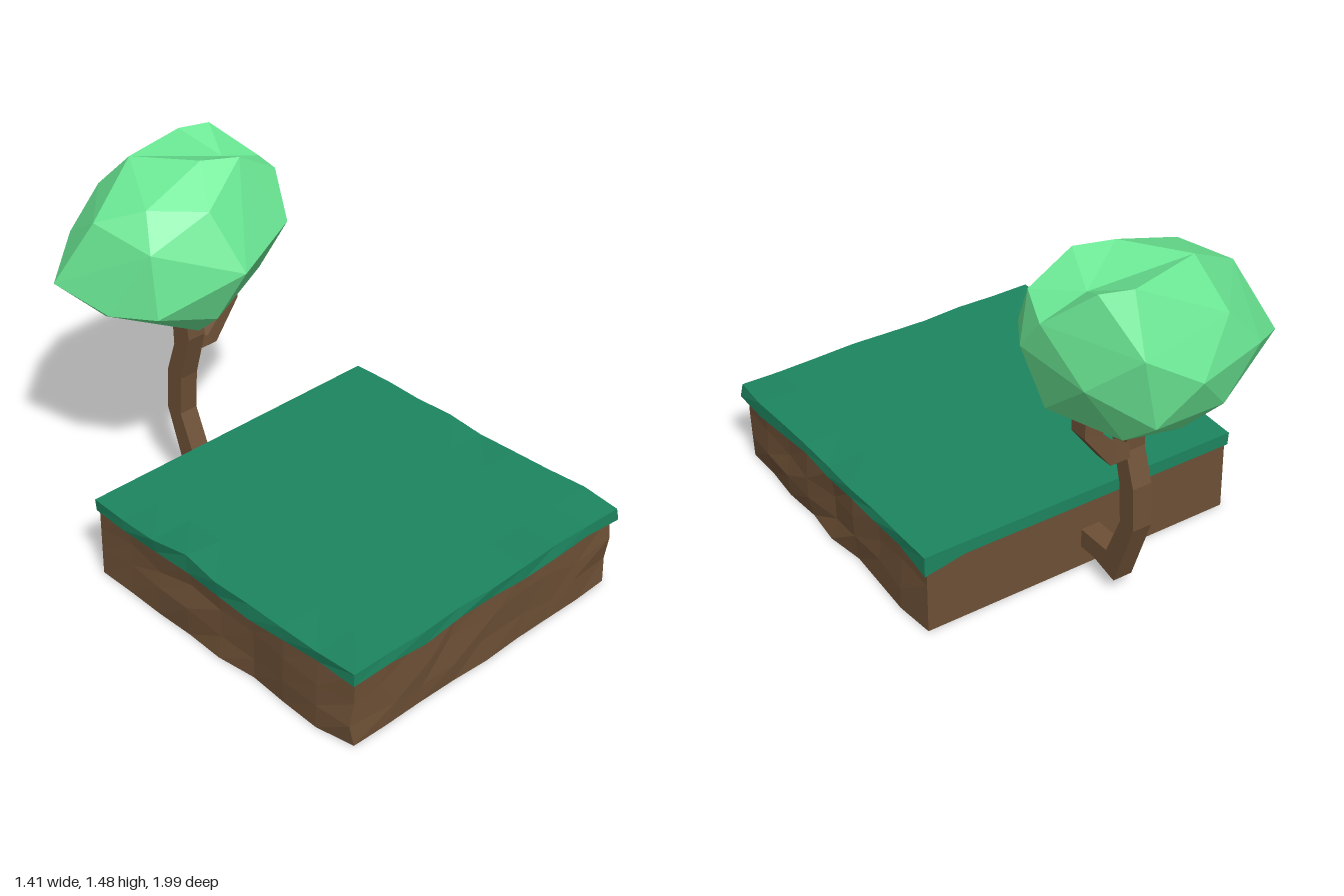
import * as THREE from 'three';
import { ConvexGeometry } from 'three/addons/geometries/ConvexGeometry.js';

const mat = (name, color) => new THREE.MeshStandardMaterial({ name, color });

// Repeatable noise in -1..1 from a position, so shared corners move together
function noise(x, y, z, seed) {
  const s = Math.sin(x * 127.1 + y * 311.7 + z * 74.7 + seed * 53.3) * 4375.85;
  return (s - Math.floor(s)) * 2 - 1;
}

// Faceted copy with one normal per face
function facet(geometry) {
  const g = geometry.index ? geometry.toNonIndexed() : geometry;
  g.computeVertexNormals();
  return g;
}

// Subdivided slab whose vertices are moved by a rule
function slab(min, max, seg, rule) {
  const size = max.map((v, i) => v - min[i]);
  const g = new THREE.BoxGeometry(...size, ...seg);
  g.translate(...min.map((v, i) => v + size[i] / 2));
  const p = g.attributes.position;
  const v = new THREE.Vector3();
  for (let i = 0; i < p.count; i++) {
    v.fromBufferAttribute(p, i);
    v.set(...[v.x, v.y, v.z].map((n) => Math.round(n * 1000) / 1000));
    rule(v);
    p.setXYZ(i, v.x, v.y, v.z);
  }
  return facet(g);
}

// Square limb: each section holds four corners in the same turning order
function limb(sections) {
  const pos = [];
  const quad = (a, b, c, d) => pos.push(...a, ...b, ...c, ...a, ...c, ...d);
  for (let i = 0; i < sections.length - 1; i++) {
    const s = sections[i], t = sections[i + 1];
    for (let k = 0; k < 4; k++) {
      const n = (k + 1) % 4;
      quad(s[k], s[n], t[n], t[k]);
    }
  }
  const a = sections[0], b = sections[sections.length - 1];
  quad(a[3], a[2], a[1], a[0]);
  quad(b[0], b[1], b[2], b[3]);
  const g = new THREE.BufferGeometry();
  g.setAttribute('position', new THREE.Float32BufferAttribute(pos, 3));
  return facet(g);
}

export function createModel() {
  const model = new THREE.Group();
  const earth = mat('earthBrown', 0x6d5036);
  const grass = mat('grassGreen', 0x1d8560);
  const leaf = mat('leafGreen', 0x69e592);
  const add = (parent, name, geometry, material) => {
    const mesh = new THREE.Mesh(geometry, material);
    mesh.name = name;
    parent.add(mesh);
  };

  // Earth block: rough front and sides, flat back and base
  add(model, 'earthBlock', slab([-0.683, 0, -0.39], [0.683, 0.31, 0.975], [8, 3, 8], (v) => {
    const { x, y, z } = v;
    const side = Math.abs(x) > 0.68, front = z > 0.97, back = z < -0.38;
    const middle = y > 0.01 && y < 0.3;
    if (side && !back) v.x += noise(x, y, z, 1) * (y > 0.3 ? 0.006 : 0.016);
    if (front) v.z += noise(x, y, z, 2) * (y > 0.3 ? 0.004 : 0.012);
    if (side && front) { v.x *= 0.985; v.z -= 0.01; }
    if (middle && (side || front) && !back) v.y += noise(x, y, z, 3) * 0.025;
    if (middle && front && !side) v.x += noise(x, y, z, 4) * 0.04;
  }), earth);

  // Turf layer with a wavy rim
  add(model, 'turf', slab([-0.697, 0.293, -0.4], [0.697, 0.345, 0.985], [8, 1, 8], (v) => {
    const { x, y, z } = v;
    const side = Math.abs(x) > 0.69, front = z > 0.98, back = z < -0.39;
    if (side) v.x += noise(x, y, z, 5) * 0.009;
    if (front) v.z += noise(x, y, z, 6) * 0.007;
    if ((side || front) && !back) v.y += noise(x, y, z, 7) * (y < 0.32 ? 0.012 : 0.005);
    if (x < -0.69 && y > 0.32 && Math.abs(z - 0.12) < 0.01) v.y = 0.365;
    if (x > 0.69 && back && y < 0.32) v.y = 0.26;
  }), grass);

  const tree = new THREE.Group();
  tree.name = 'tree';
  model.add(tree);

  // Trunk leaves the back of the block, then bends upward: [inner y, z, outer y, z]
  const trunk = [
    [0.17, -0.37, 0.09, -0.37], [0.17, -0.47, 0.09, -0.47], [0.17, -0.545, 0.06, -0.595],
    [0.35, -0.622, 0.35, -0.7], [0.52, -0.612, 0.53, -0.692],
    [0.72, -0.556, 0.67, -0.645], [0.9, -0.575, 0.9, -0.655],
  ].map(([iy, iz, oy, oz]) => [
    [-0.083, iy, iz], [0, iy, iz], [0, oy, oz], [-0.083, oy, oz],
  ]);
  add(tree, 'trunk', limb(trunk), earth);

  // Side branch: [upper front x, y, lower x, y, upper back x, y]
  const branch = [
    [-0.01, 0.69, -0.01, 0.645, -0.01, 0.712], [0.035, 0.69, 0.075, 0.645, 0.03, 0.712],
    [0.128, 0.79, 0.19, 0.8, 0.107, 0.79], [0.128, 0.95, 0.187, 0.95, 0.107, 0.95],
  ].map(([ux, uy, lx, ly, bx, by]) => [
    [ux, uy, -0.578], [lx, ly, -0.575], [lx, ly, -0.655], [bx, by, -0.65],
  ]);
  add(tree, 'branch', limb(branch), earth);

  // Faceted crown
  const crownPoints = [
    [-0.04, 1.12, -0.26], [-0.54, 1.06, -0.78], [-0.43, 1.32, -0.66], [-0.3, 1.38, -0.51],
    [-0.36, 1.25, -0.42], [-0.17, 1.47, -0.76], [-0.01, 1.475, -0.54], [0.13, 1.465, -0.48],
    [0.13, 1.465, -0.83], [0.25, 1.465, -0.79], [-0.1, 1.35, -0.39], [0.31, 1.36, -0.48],
    [0.38, 1.33, -0.65], [0.39, 1.2, -0.55], [0.28, 1.18, -0.38], [0.285, 0.91, -0.55],
    [-0.1, 0.91, -0.36], [-0.37, 1.0, -0.38], [-0.465, 0.985, -0.55], [-0.44, 0.955, -0.6],
    [-0.28, 0.91, -0.47], [-0.1, 0.81, -0.47], [0, 0.79, -0.65], [0.13, 0.85, -0.79],
    [-0.04, 1.13, -1.0], [0.16, 1.25, -0.935], [-0.34, 1.15, -0.93], [-0.2, 1.31, -0.92],
    [0.29, 1.1, -0.78], [0.1, 0.96, -0.93], [-0.2, 0.95, -0.92], [-0.1, 0.83, -0.82],
    [-0.4, 0.95, -0.78], [0.19, 1.5, -0.65],
  ].map((p) => new THREE.Vector3(...p));
  const crown = new ConvexGeometry(crownPoints);
  // Sink the topmost point to form a notch
  const cp = crown.attributes.position;
  for (let i = 0; i < cp.count; i++) if (cp.getY(i) > 1.49) cp.setY(i, 1.39);
  add(tree, 'crown', facet(crown), leaf);

  return model;
}
